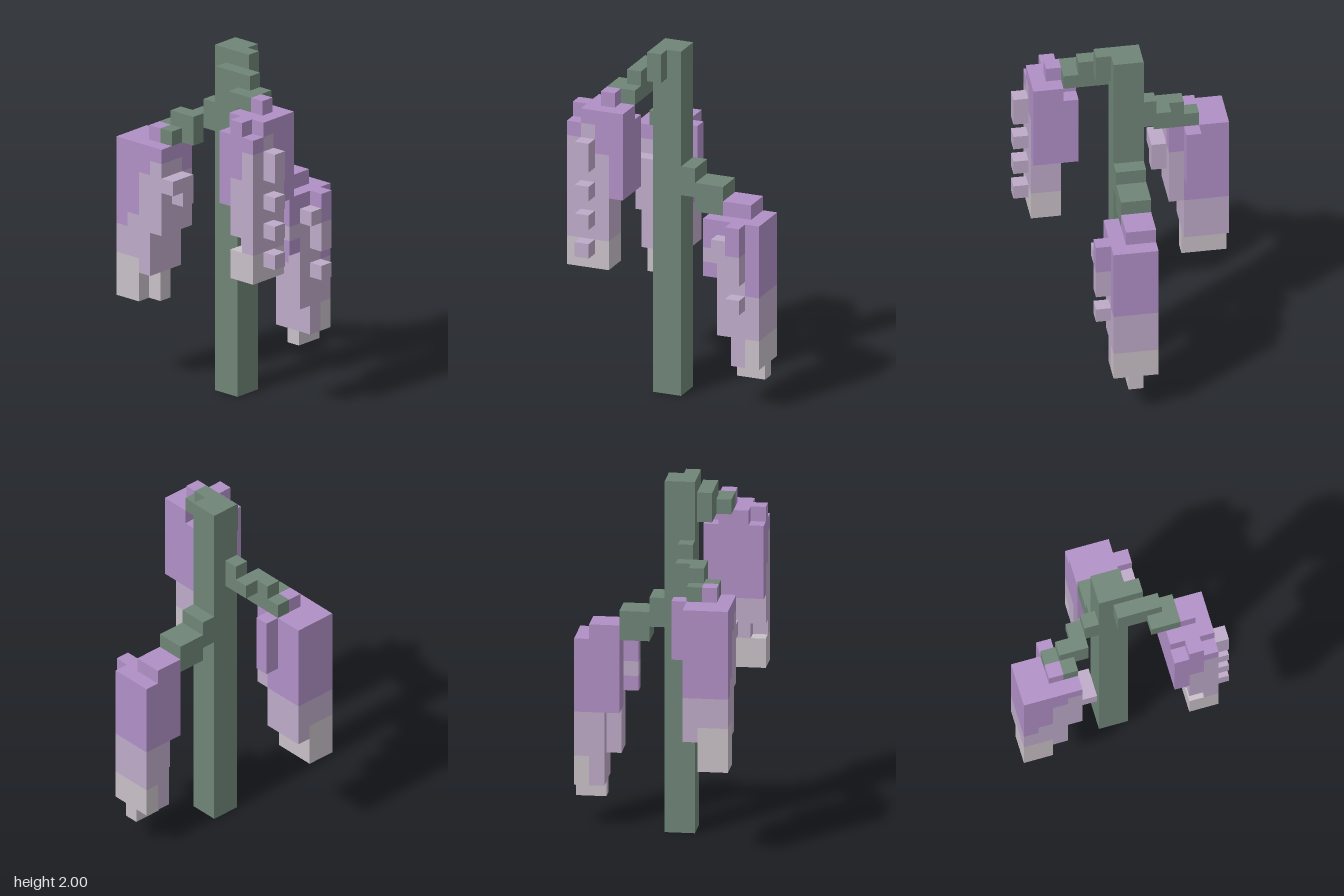
import * as THREE from 'three';

const U = 1 / 12; // edge of one block

const mat = (name, color) => {
  const m = new THREE.MeshStandardMaterial({ color });
  m.name = name;
  return m;
};

// Each part is painted block by block: [colour, x0, x1, y0, y1, z0, z1] in block units.
// Later boxes repaint earlier ones; colour null carves blocks away.
function paint(boxes) {
  const cells = new Map();
  for (const [c, x0, x1, y0, y1, z0, z1] of boxes)
    for (let x = x0; x < x1; x++)
      for (let y = y0; y < y1; y++)
        for (let z = z0; z < z1; z++) {
          const key = `${x},${y},${z}`;
          if (c === null) cells.delete(key);
          else cells.set(key, { c, p: [x, y, z] });
        }
  return cells;
}

// Outer faces of the painted blocks, one mesh per colour
function blockPart(name, boxes, materials) {
  const cells = paint(boxes);
  const group = new THREE.Group();
  group.name = name;
  const buffers = {};
  for (const { c, p } of cells.values()) {
    const out = (buffers[c] ??= { pos: [], nor: [] });
    for (let axis = 0; axis < 3; axis++)
      for (const side of [0, 1]) {
        const n = [0, 0, 0];
        n[axis] = side ? 1 : -1;
        if (cells.has(p.map((v, i) => v + n[i]).join(','))) continue;
        const a = (axis + 1) % 3, b = (axis + 2) % 3;
        const corner = (i, j) => {
          const q = [...p];
          q[axis] += side; q[a] += i; q[b] += j;
          return q.map((v) => v * U);
        };
        let quad = [corner(0, 0), corner(1, 0), corner(1, 1), corner(0, 1)];
        if (!side) quad.reverse();
        for (const k of [0, 1, 2, 0, 2, 3]) {
          out.pos.push(...quad[k]);
          out.nor.push(...n);
        }
      }
  }
  for (const [c, { pos, nor }] of Object.entries(buffers)) {
    const g = new THREE.BufferGeometry();
    g.setAttribute('position', new THREE.Float32BufferAttribute(pos, 3));
    g.setAttribute('normal', new THREE.Float32BufferAttribute(nor, 3));
    const mesh = new THREE.Mesh(g, materials[c]);
    mesh.name = `${name} ${materials[c].name}`;
    group.add(mesh);
  }
  return group;
}

export function createModel() {
  const G = 'green', P = 'purple', L = 'lilac', W = 'pale';
  const materials = {
    green: mat('stem green', 0x6f8577),
    purple: mat('blossom purple', 0xb08fc6),
    lilac: mat('blossom lilac', 0xbdaac8),
    pale: mat('blossom pale', 0xc8c0c7),
  };
  const model = new THREE.Group();
  const add = (name, boxes) => model.add(blockPart(name, boxes, materials));

  // Stem with its three stepped branches
  add('stem', [
    [G, -1, 1, 0, 24, 0, 2],
    // left branch
    [G, 1, 2, 22, 24, 1, 2],
    [G, 0, 3, 21, 23, 2, 3],
    [G, 2, 4, 21, 22, 2, 4],
    // right branch
    [G, -2, -1, 18, 20, 1, 2],
    [G, -3, -2, 18, 19, 1, 2],
    [G, -4, -2, 17, 19, 2, 3],
    [G, -5, -3, 17, 18, 2, 3],
    [G, -4, -3, 17, 18, 3, 4],
    // back branch
    [G, -1, 1, 14, 16, -1, 0],
    [G, -1, 1, 13, 15, -3, -1],
  ]);

  // Left blossom, the highest
  add('leftBlossom', [
    [P, 3, 6, 15, 21, 3, 6],
    [P, 4, 5, 21, 22, 3, 4],
    [P, 3, 6, 15, 20, 2, 3],
    [P, 4, 6, 20, 21, 2, 3],
    [L, 4, 6, 12, 15, 3, 6],
    [L, 5, 6, 15, 19, 5, 6],
    [L, 5, 6, 15, 20, 4, 5],
    [L, 5, 6, 15, 18, 3, 4],
    [L, 4, 5, 15, 17, 4, 6],
    [W, 4, 6, 10, 12, 3, 6],
    [null, 3, 4, 20, 21, 5, 6],
    [null, 5, 6, 20, 21, 5, 6],
    [null, 4, 5, 12, 13, 5, 6],
    // row of small buds
    [L, 6, 7, 17, 19, 4, 5],
    ...[15, 13, 11].map((y) => [L, 6, 7, y, y + 1, 4, 5]),
  ]);

  // Right blossom, the widest
  add('rightBlossom', [
    [P, -7, -3, 11, 17, 2, 5],
    [P, -5, -4, 17, 18, 3, 4],
    [P, -5, -4, 13, 17, 1, 2],
    [L, -7, -4, 8, 11, 2, 5],
    [L, -6, -5, 11, 12, 3, 5],
    [L, -5, -4, 11, 15, 3, 5],
    [L, -4, -3, 11, 16, 3, 5],
    [L, -4, -3, 11, 15, 2, 3],
    [W, -7, -5, 6, 9, 3, 5],
    [W, -5, -4, 6, 8, 3, 4],
    // side bud
    [L, -3, -2, 14, 15, 3, 5],
    [L, -3, -2, 13, 14, 3, 4],
  ]);

  // Back blossom, the lowest
  add('backBlossom', [
    [P, -1, 2, 8, 13, -6, -3],
    [P, -1, 1, 13, 14, -5, -3],
    [P, 1, 2, 9, 13, -3, -2],
    [L, 1, 2, 10, 11, -3, -2],
    [L, 1, 2, 8, 11, -5, -3],
    [L, -1, 2, 5, 8, -6, -4],
    [L, 0, 2, 5, 8, -4, -3],
    [W, -1, 2, 3, 5, -6, -5],
    [L, -1, 2, 3, 5, -5, -4],
    [W, 0, 1, 2, 3, -6, -4],
    // side buds
    [P, 2, 3, 11, 13, -5, -4],
    [L, 2, 3, 9, 11, -5, -4],
    [L, 2, 3, 11, 12, -4, -3],
    [L, 2, 3, 7, 8, -5, -4],
  ]);

  return model;
}
